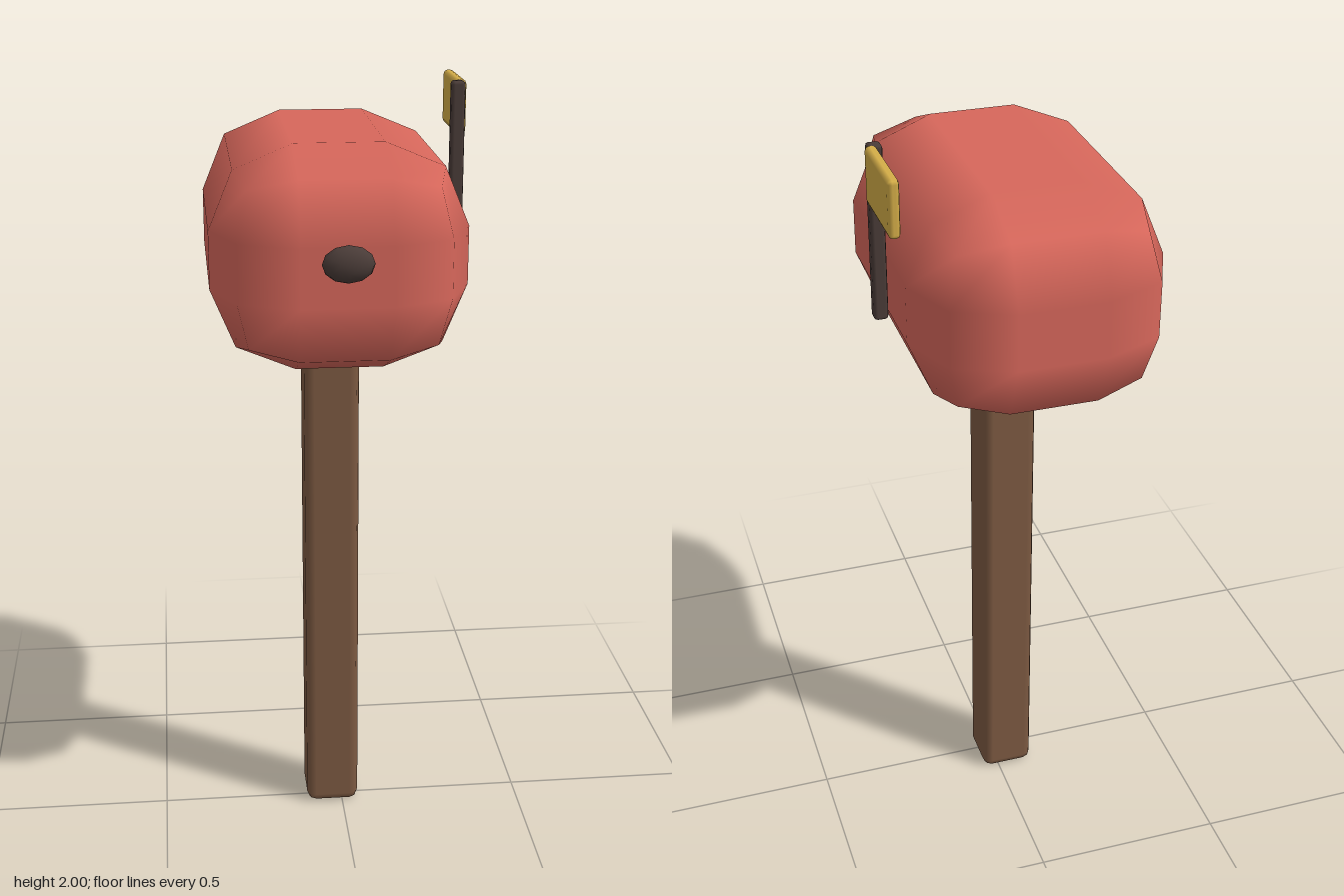
import * as THREE from 'three';
import { RoundedBoxGeometry } from 'three/addons/geometries/RoundedBoxGeometry.js';

const material = (name, color) => {
  const m = new THREE.MeshStandardMaterial({ color });
  m.name = name;
  return m;
};

export function createModel() {
  const group = new THREE.Group();
  group.name = 'mailbox';
  const red = material('red paint', 0xd7675b);
  const wood = material('brown wood', 0x7d5a42);
  const dark = material('dark metal', 0x4a3c38);
  const yellow = material('yellow flag', 0xd4ad48);

  // Rounded block given by its minimum and maximum corners
  const block = (name, min, max, radius, mat) => {
    const size = max.map((v, i) => v - min[i]);
    const mesh = new THREE.Mesh(new RoundedBoxGeometry(...size, 1, radius), mat);
    mesh.position.set(...max.map((v, i) => (v + min[i]) / 2));
    mesh.name = name;
    group.add(mesh);
  };

  block('post', [-0.099, 0, -0.095], [0.045, 1.334, 0.051], 0.025, wood);
  block('boxBody', [-0.342, 1.355, -0.488], [0.289, 1.91, 0.438], 0.206, red);

  // Flag on the left side, pointing backwards
  block('flagPole', [0.298, 1.56, -0.154], [0.334, 2, -0.118], 0.009, dark);
  block('flag', [0.312, 1.86, -0.358], [0.34, 2, -0.139], 0.011, yellow);

  // Flattened knob on the front
  const knob = new THREE.Mesh(new THREE.SphereGeometry(1, 12, 8), dark);
  knob.geometry.rotateX(Math.PI / 2);
  knob.scale.set(0.062, 0.045, 0.032);
  knob.position.set(-0.027, 1.67, 0.453);
  knob.name = 'doorKnob';
  group.add(knob);

  return group;
}
